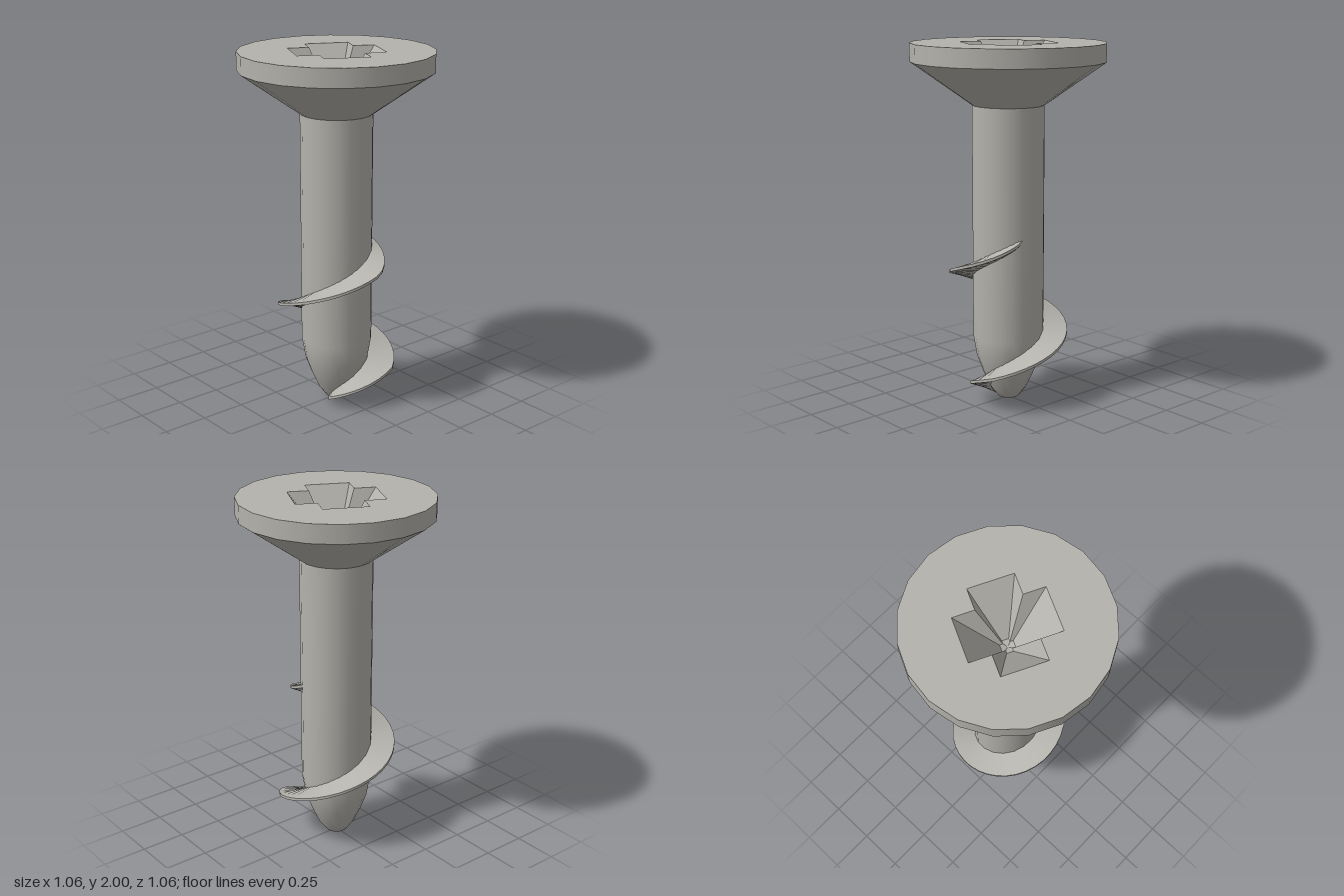
import * as THREE from 'three';
import { toCreasedNormals } from 'three/addons/utils/BufferGeometryUtils.js';

const V2 = (x, y) => new THREE.Vector2(x, y);
const HEAD_R = 0.53, SHANK_R = 0.198, PITCH = 0.665;

// shank outline from the blunt tip up to the head
const shankProfile = [
  [0.001, 0.005], [0.06, 0.01], [0.105, 0.07], [0.145, 0.16],
  [0.178, 0.25], [SHANK_R, 0.37], [SHANK_R, 1.0], [SHANK_R, 1.67],
];

function shankRadius(y) {
  for (let i = 1; i < shankProfile.length; i++) {
    const [r0, y0] = shankProfile[i - 1], [r1, y1] = shankProfile[i];
    if (y <= y1) return THREE.MathUtils.lerp(r0, r1, Math.max(0, (y - y0) / (y1 - y0)));
  }
  return SHANK_R;
}

// corners of the cross recess, counter-clockwise seen from above
function crossPoints(scale) {
  const pts = [], L = 0.24, w = 0.122;
  for (let k = 0; k < 4; k++) {
    const turn = THREE.MathUtils.degToRad(63.4) + k * Math.PI / 2;
    for (const [x, y] of [[L, -w], [L, w], [w, w]]) {
      pts.push(V2(x * scale, y * scale).rotateAround(V2(0, 0), turn));
    }
  }
  return pts;
}

// flat top disc with the cross cut out
function headTopGeometry() {
  const rim = [];
  for (let i = 0; i < 20; i++) {
    const a = i * Math.PI / 10;
    rim.push(V2(HEAD_R * Math.cos(a), HEAD_R * Math.sin(a)));
  }
  const shape = new THREE.Shape(rim);
  shape.holes.push(new THREE.Path(crossPoints(1)));
  return new THREE.ShapeGeometry(shape).rotateX(-Math.PI / 2).translate(0, 2, 0);
}

// walls narrowing from the cross down to a small floor
function recessGeometry() {
  const top = crossPoints(1), low = crossPoints(0.15), pos = [];
  const topY = 2, lowY = 1.73, n = top.length;
  const put = (p, y) => pos.push(p.x, y, -p.y);
  for (let i = 0; i < n; i++) {
    const j = (i + 1) % n;
    put(top[i], topY); put(top[j], topY); put(low[i], lowY);
    put(top[j], topY); put(low[j], lowY); put(low[i], lowY);
    put(low[i], lowY); put(low[j], lowY); put(V2(0, 0), lowY - 0.01);
  }
  const g = new THREE.BufferGeometry();
  g.setAttribute('position', new THREE.Float32BufferAttribute(pos, 3));
  g.computeVertexNormals();
  return g;
}

// one helical blade, thick at the root and thin at the edge
function threadGeometry() {
  const pos = [], idx = [], steps = 52, start = -345, end = 170;
  const { lerp, clamp, degToRad } = THREE.MathUtils;
  for (let i = 0; i <= steps; i++) {
    const deg = lerp(start, end, i / steps), t = degToRad(deg);
    const y = 0.645 + PITCH * deg / 360;
    const grow = clamp((deg - start) / 110, 0, 1);
    const fade = clamp((end - deg) / 75, 0, 1);
    const tip = lerp(0.18, lerp(0.06, 0.33, Math.pow(grow, 0.7)), fade);
    const root = Math.min(shankRadius(y) * 0.85, tip * 0.8);
    for (const [r, dy] of [[root, -0.032], [tip, -0.008], [tip, 0.008], [root, 0.032]]) {
      pos.push(r * Math.sin(t), Math.max(0, y + dy), r * Math.cos(t));
    }
    if (i < steps) {
      for (let j = 0; j < 4; j++) {
        const a = i * 4 + j, b = i * 4 + (j + 1) % 4;
        idx.push(a, a + 4, b, a + 4, b + 4, b);
      }
    }
  }
  const g = new THREE.BufferGeometry();
  g.setAttribute('position', new THREE.Float32BufferAttribute(pos, 3));
  g.setIndex(idx);
  return toCreasedNormals(g, 0.7);
}

export function createModel() {
  const steel = new THREE.MeshStandardMaterial({ color: 0xb4b2ac });
  steel.name = 'steel grey';

  const group = new THREE.Group();
  group.name = 'screw';
  const add = (name, geometry, parent = group) => {
    const mesh = new THREE.Mesh(geometry, steel);
    mesh.name = name;
    parent.add(mesh);
  };

  // countersunk head
  const head = new THREE.Group();
  head.name = 'head';
  group.add(head);
  add('headTop', headTopGeometry(), head);
  add('crossRecess', recessGeometry(), head);
  add('headRim', new THREE.LatheGeometry([V2(HEAD_R, 1.9), V2(HEAD_R, 2)], 20), head);
  add('headCone', new THREE.LatheGeometry([V2(0.19, 1.66), V2(HEAD_R, 1.9)], 20), head);

  // shank and its thread
  add('shank', new THREE.LatheGeometry(shankProfile.map(([r, y]) => V2(r, y)), 20));
  add('thread', threadGeometry());
  return group;
}
